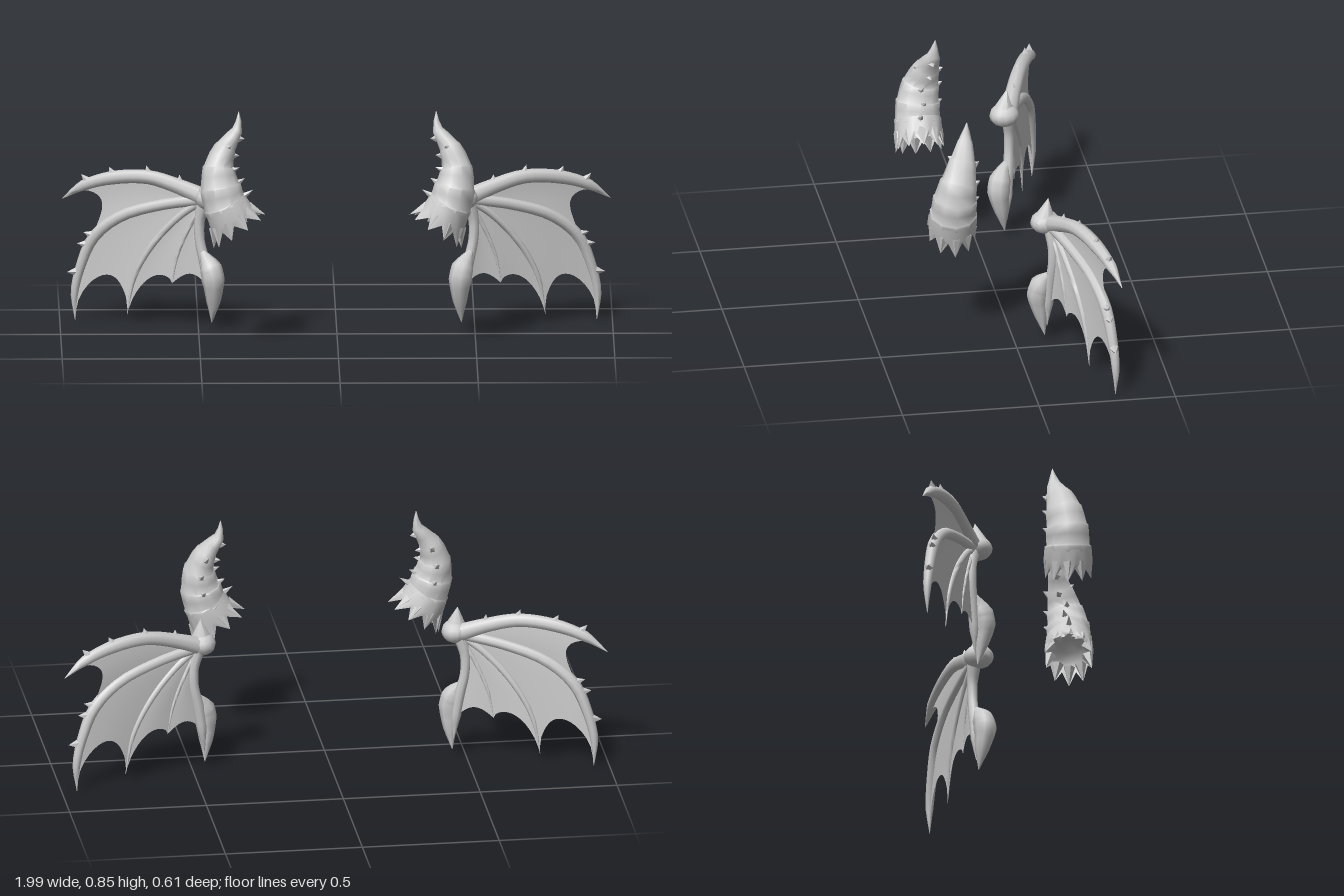
import * as THREE from 'three';
import { toCreasedNormals } from 'three/addons/utils/BufferGeometryUtils.js';

const V = (x, y, z) => new THREE.Vector3(x, y, z);
const stone = new THREE.MeshStandardMaterial({ color: 0xcccccc, side: THREE.DoubleSide });
stone.name = 'lightGrey';

// Grid of points turned into an indexed surface
function surface(rows, cols, point) {
  const pos = [], idx = [];
  for (let i = 0; i <= rows; i++) {
    for (let j = 0; j <= cols; j++) pos.push(...point(i, j).toArray());
  }
  for (let i = 0; i < rows; i++) {
    for (let j = 0; j < cols; j++) {
      const a = i * (cols + 1) + j, b = a + cols + 1;
      idx.push(a, a + 1, b, b, a + 1, b + 1);
    }
  }
  const g = new THREE.BufferGeometry();
  g.setAttribute('position', new THREE.Float32BufferAttribute(pos, 3));
  g.setIndex(idx);
  return g;
}

// Value of an evenly spaced list at t in 0..1
function sample(list, t) {
  const f = t * (list.length - 1), i = Math.min(Math.floor(f), list.length - 2);
  return THREE.MathUtils.lerp(list[i], list[i + 1], f - i);
}

// Oval section swept along a curve; ts are ring positions, the radii run sideways and in depth
function sweep(curve, ts, radius, sides, depth = radius) {
  const frames = ts.map((t) => {
    const tan = curve.getTangent(t);
    const u = V(0, 0, 1).cross(tan).normalize();
    return { p: curve.getPoint(t), u, v: tan.clone().cross(u) };
  });
  return surface(ts.length - 1, sides, (i, j) => {
    const a = (j / sides) * Math.PI * 2, f = frames[i];
    return f.p.clone().addScaledVector(f.u, Math.cos(a) * radius(ts[i], i))
      .addScaledVector(f.v, Math.sin(a) * depth(ts[i], i));
  });
}

const even = (n) => Array.from({ length: n + 1 }, (_, i) => i / n);

// Pointed spike between two points
function spike(from, to, r, sides = 5) {
  const d = to.clone().sub(from), h = d.length();
  const g = new THREE.ConeGeometry(r, h, sides).translate(0, h / 2, 0);
  g.applyQuaternion(new THREE.Quaternion().setFromUnitVectors(V(0, 1, 0), d.normalize()));
  return g.translate(from.x, from.y, from.z);
}

// Horn: ridged curved body, hollow foot, jagged crown, small thorns
function hornParts(add) {
  const path = new THREE.CatmullRomCurve3([
    V(0.383, 0.47, 0.217), V(0.407, 0.525, 0.217), V(0.425, 0.59, 0.213), V(0.43, 0.66, 0.2),
    V(0.404, 0.73, 0.183), V(0.363, 0.79, 0.167), V(0.357, 0.855, 0.16)]);
  const wide = [0.08, 0.08, 0.072, 0.055, 0.038, 0.019, 0.001];
  const deep = [0.085, 0.085, 0.079, 0.066, 0.047, 0.025, 0.001];
  const ts = [], scale = [];
  for (let k = 0; k < 6; k++) {
    ts.push(k / 6, (k + 0.5) / 6, (k + 0.92) / 6);
    scale.push(0.97, 1, 1.03);
  }
  ts.push(1); scale.push(1);
  add('hornBody', sweep(path, ts, (t, i) => sample(wide, t) * scale[i], 10, (t, i) => sample(deep, t) * scale[i]));

  const foot = new THREE.CatmullRomCurve3([V(0.383, 0.47, 0.217), V(0.395, 0.497, 0.217), V(0.407, 0.525, 0.217)]);
  add('hornHollow', sweep(foot, even(3), (t) => 0.079 * (1 - t * t), 10));

  // crown: rows run from the body down to alternating tips and notches
  const e = V(0.83, -0.55, 0), z = V(0, 0, 1);
  const ring = (c, a, r, rz) => c.clone().addScaledVector(e, Math.cos(a) * r).addScaledVector(z, Math.sin(a) * rz);
  add('hornCrown', surface(2, 20, (i, j) => {
    const a = (j / 20) * Math.PI * 2;
    if (i === 0) return ring(V(0.407, 0.522, 0.217), a, 0.08, 0.085);
    if (i === 1) return ring(V(0.385, 0.476, 0.217), a, 0.088, 0.089);
    return j % 2 ? ring(V(0.376, 0.459, 0.217), a, 0.084, 0.083) : ring(V(0.354, 0.424, 0.217), a, 0.113, 0.088);
  }));
  for (let k = 0; k < 10; k++) {
    const a = (k / 10) * Math.PI * 2;
    add('crownSpike', spike(ring(V(0.385, 0.476, 0.217), a, 0.072, 0.07),
      ring(V(0.354, 0.424, 0.217), a, 0.113, 0.088), 0.022));
  }

  // thorns along the inner curve and the back
  for (const [t, a, len] of [[0.18, 3.14, 0.035], [0.33, 3.3, 0.022], [0.48, 3, 0.02], [0.62, 3.3, 0.018], [0.78, 3.1, 0.014],
    [0.3, 4.7, 0.01], [0.46, 4.7, 0.01], [0.62, 4.7, 0.01], [0.68, 1.7, 0.012]]) {
    const p = path.getPoint(t), tan = path.getTangent(t);
    const r = Math.abs(Math.sin(a)) > 0.5 ? sample(deep, t) : sample(wide, t);
    const u = tan.clone().cross(z).normalize();
    const d = u.multiplyScalar(Math.cos(a)).addScaledVector(z, Math.sin(a));
    add('hornThorn', spike(p.clone().addScaledVector(d, r * 0.85),
      p.clone().addScaledVector(d, r + len).addScaledVector(tan, 0.012), 0.014));
  }
}

// The wing lies on a slanting plane
const planeZ = (x) => -0.12 - (x - 0.46) * 0.35;
const rib = (pts) => new THREE.CatmullRomCurve3(pts.map(([x, y]) => V(x, y, planeZ(x))));

function wingParts(add) {
  const spar = rib([[0.475, 0.485], [0.57, 0.522], [0.68, 0.55], [0.81, 0.54], [0.915, 0.505], [0.992, 0.452]]);
  const outer = rib([[0.475, 0.48], [0.63, 0.452], [0.78, 0.4], [0.875, 0.32], [0.92, 0.22], [0.946, 0.11], [0.944, 0.008]]);
  const middle = rib([[0.475, 0.48], [0.56, 0.42], [0.66, 0.31], [0.73, 0.18], [0.757, 0.04]]);
  const inner = rib([[0.475, 0.48], [0.53, 0.38], [0.575, 0.27], [0.595, 0.165]]);
  const arm = rib([[0.48, 0.47], [0.496, 0.4], [0.495, 0.33], [0.478, 0.25], [0.464, 0.16], [0.455, 0.07]]);

  for (const [name, curve, radii] of [
    ['topSpar', spar, [0.034, 0.028, 0.026, 0.025, 0.02, 0.001]],
    ['outerFinger', outer, [0.02, 0.02, 0.021, 0.022, 0.019, 0.015, 0.001]],
    ['middleFinger', middle, [0.014, 0.013, 0.012, 0.009, 0.001]],
    ['innerFinger', inner, [0.01, 0.008, 0.006, 0.001]],
    ['armEdge', arm, [0.026, 0.019, 0.018, 0.02, 0.018, 0.001]],
  ]) add(name, sweep(curve, even(20), (t) => sample(radii, t), 8));

  // skin between neighbouring ribs, with a scalloped free edge
  const panel = (A, B, endA, endB, cut, power = 1) => add('wingSkin', surface(12, 14, (i, j) => {
    const t = j / 14, s = (i / 12) * (1 - cut * Math.pow(4 * t * (1 - t), power));
    const p = A.getPoint(s * endA).lerp(B.getPoint(s * endB), t);
    p.z -= 0.006 * Math.sin(Math.PI * t) * s;
    return p;
  }));
  panel(spar, outer, 0.92, 0.56, 0.25, 0.6);
  panel(outer, middle, 0.98, 0.98, 0.25, 0.7);
  panel(middle, inner, 0.98, 1, 0.18, 0.7);
  panel(inner, arm, 1, 0.8, 0.12);

  // shoulder knob with its upright spur
  add('shoulder', new THREE.SphereGeometry(0.05, 12, 8).scale(1, 0.85, 1.1).translate(0.462, 0.487, -0.11));
  add('shoulderSpur', spike(V(0.465, 0.495, -0.106), V(0.47, 0.585, -0.12), 0.046, 7));

  // heavy claw at the foot of the arm
  const claw = new THREE.CatmullRomCurve3([V(0.486, 0.29, -0.122), V(0.456, 0.235, -0.094), V(0.447, 0.19, -0.087),
    V(0.446, 0.11, -0.098), V(0.452, 0.03, -0.11)]);
  const clawSize = [0.01, 0.04, 0.042, 0.026, 0.001];
  add('armClaw', sweep(claw, even(12), (t) => sample(clawSize, t), 8));

  // thorns along the spar and the outer finger
  for (const [curve, t] of [[spar, 0.2], [spar, 0.4], [spar, 0.59], [spar, 0.76], [outer, 0.5], [outer, 0.56], [outer, 0.72]]) {
    const p = curve.getPoint(t), tan = curve.getTangent(t);
    const n = V(0, 0, 1).cross(tan).normalize();
    add('wingThorn', spike(p.clone().addScaledVector(n, 0.01),
      p.clone().addScaledVector(n, 0.042).addScaledVector(tan, 0.012), 0.017));
  }
}

// One side's parts; the right side is the mirror of the left
function buildSide(name, build, mirror) {
  const group = new THREE.Group();
  group.name = name;
  build((part, geometry) => {
    if (mirror) {
      geometry.scale(-1, 1, 1);
      geometry.index.array.reverse();
    }
    geometry.deleteAttribute('uv');
    const mesh = new THREE.Mesh(toCreasedNormals(geometry, 0.9), stone);
    mesh.name = part;
    group.add(mesh);
  });
  return group;
}

export function createModel() {
  const model = new THREE.Group();
  model.name = 'hornsAndWings';
  model.add(
    buildSide('leftHorn', hornParts, false), buildSide('rightHorn', hornParts, true),
    buildSide('leftWing', wingParts, false), buildSide('rightWing', wingParts, true));
  return model;
}
